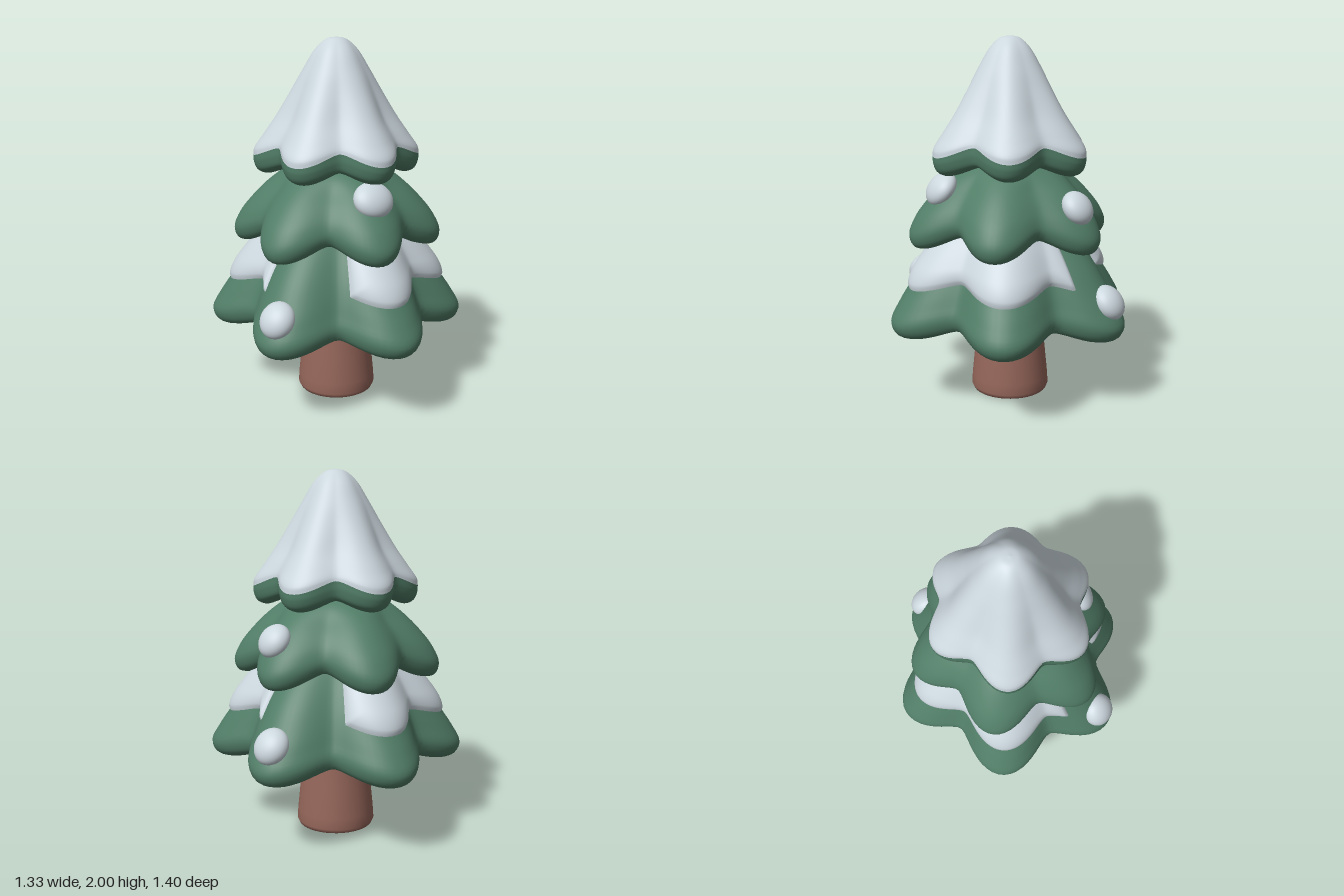
import * as THREE from 'three';

const RAD = Math.PI / 180;

// Smooth curve through [radius, height] pairs
const profile = (pts) => new THREE.CatmullRomCurve3(pts.map(([r, y]) => new THREE.Vector3(r, y, 0)));

// Six-lobed surface blended between the profile at a lobe tip and the profile in a valley
function lobedSurface(tipPts, valleyPts, offsetDeg) {
  const tip = profile(tipPts), valley = profile(valleyPts);
  return (deg, t, lift = 0) => {
    const w = Math.pow(0.5 + 0.5 * Math.cos(6 * (deg - offsetDeg) * RAD), 0.8);
    const p = valley.getPoint(t).lerp(tip.getPoint(t), w);
    const r = p.x + lift * 0.8;
    return [r * Math.cos(deg * RAD), p.y + lift * 0.6, r * Math.sin(deg * RAD)];
  };
}

// Grid mesh over an angle range; a full turn is welded at the seam
function loft(point, cols, rows, closed) {
  const pos = [], index = [];
  const n = closed ? cols : cols + 1;
  for (let j = 0; j <= rows; j++)
    for (let i = 0; i < n; i++) pos.push(...point(i / cols, j / rows));
  for (let j = 0; j < rows; j++)
    for (let i = 0; i < cols; i++) {
      const k = (i + 1) % n;
      const a = j * n + i, b = j * n + k, c = a + n, d = b + n;
      index.push(a, c, b, b, c, d);
    }
  const g = new THREE.BufferGeometry();
  g.setAttribute('position', new THREE.Float32BufferAttribute(pos, 3));
  g.setIndex(index);
  g.computeVertexNormals();
  return g;
}

export function createModel() {
  const root = new THREE.Group();
  const green = new THREE.MeshStandardMaterial({ name: 'pine green', color: 0x517d67 });
  const white = new THREE.MeshStandardMaterial({ name: 'snow white', color: 0xcbd6dd });
  const brown = new THREE.MeshStandardMaterial({ name: 'trunk brown', color: 0x95665a });

  const add = (name, geometry, material) => {
    const m = new THREE.Mesh(geometry, material);
    m.name = name;
    root.add(m);
    return m;
  };
  const ring = (surface) => loft((u, t) => surface(u * 360, t), 120, 40, true);

  // Trunk: flat base with a small rounded rim
  add('trunk', new THREE.LatheGeometry([
    [0, 0], [0.19, 0], [0.19, 0], [0.21, 0.008], [0.22, 0.03], [0.216, 0.09], [0.2, 0.25], [0.18, 0.42], [0.175, 0.56],
  ].map(([r, y]) => new THREE.Vector2(r, y)), 40), brown);

  // Bottom tier
  const lower = lobedSurface(
    [[0.1, 0.49], [0.4, 0.44], [0.6, 0.405], [0.68, 0.43], [0.705, 0.49], [0.66, 0.58],
      [0.6, 0.67], [0.52, 0.79], [0.42, 0.91], [0.3, 1.02], [0.1, 1.1]],
    [[0.1, 0.5], [0.32, 0.49], [0.44, 0.48], [0.5, 0.49], [0.525, 0.55], [0.5, 0.63],
      [0.46, 0.73], [0.42, 0.81], [0.36, 0.91], [0.28, 1.02], [0.1, 1.1]], 22);
  add('lowerBranches', ring(lower), green);

  // Two opposite snow drifts on the bottom tier, rounded down to the branches at their edges
  for (const start of [-22, 158]) {
    const drift = (u, v) => {
      const edge = Math.min(1, u / 0.08, (1 - u) / 0.08, v / 0.25);
      const lift = 0.036 * Math.sqrt(edge * (2 - edge)) - 0.003;
      return lower(start + u * 127, 0.6 + v * 0.33, lift);
    };
    add('lowerSnowDrift', loft(drift, 80, 32, false), white);
  }

  // Middle tier
  const middle = lobedSurface(
    [[0.1, 1.0], [0.3, 0.95], [0.46, 0.885], [0.55, 0.89], [0.575, 0.95], [0.54, 1.04],
      [0.47, 1.13], [0.38, 1.22], [0.27, 1.3], [0.1, 1.38]],
    [[0.1, 1.02], [0.25, 1.0], [0.34, 0.975], [0.41, 0.97], [0.44, 1.02], [0.43, 1.08],
      [0.39, 1.15], [0.33, 1.22], [0.26, 1.3], [0.1, 1.38]], 28);
  add('middleBranches', ring(middle), green);

  // Top tier: green rim below, snow cap above
  add('topBranches', ring(lobedSurface(
    [[0.1, 1.36], [0.28, 1.31], [0.38, 1.275], [0.43, 1.295], [0.45, 1.34], [0.452, 1.375]],
    [[0.1, 1.36], [0.24, 1.34], [0.3, 1.33], [0.345, 1.345], [0.36, 1.39], [0.36, 1.44]], 20)), green);
  add('snowCap', ring(lobedSurface(
    [[0.452, 1.375], [0.447, 1.41], [0.4, 1.48], [0.33, 1.58], [0.25, 1.71], [0.18, 1.83],
      [0.11, 1.94], [0.05, 1.99], [0, 2]],
    [[0.36, 1.44], [0.355, 1.46], [0.335, 1.5], [0.28, 1.59], [0.225, 1.71], [0.17, 1.83],
      [0.105, 1.94], [0.05, 1.99], [0, 2]], 20)), white);

  // Snow clumps lying on single branches: position, then half width, length and thickness
  const clumps = [
    [0.035, 1.2, 0.4, 0.11, 0.1, 0.065],
    [0.42, 1.13, -0.225, 0.09, 0.095, 0.065],
    [-0.49, 0.62, 0.385, 0.095, 0.1, 0.07],
    [0.49, 0.62, -0.385, 0.095, 0.1, 0.07],
  ];
  for (const [x, y, z, w, l, d] of clumps) {
    const m = add('snowClump', new THREE.SphereGeometry(1, 32, 20), white);
    m.position.set(x, y, z);
    m.rotation.set(-38 * RAD, Math.atan2(x, z), 0, 'YXZ');
    m.scale.set(w, l, d);
  }
  return root;
}
